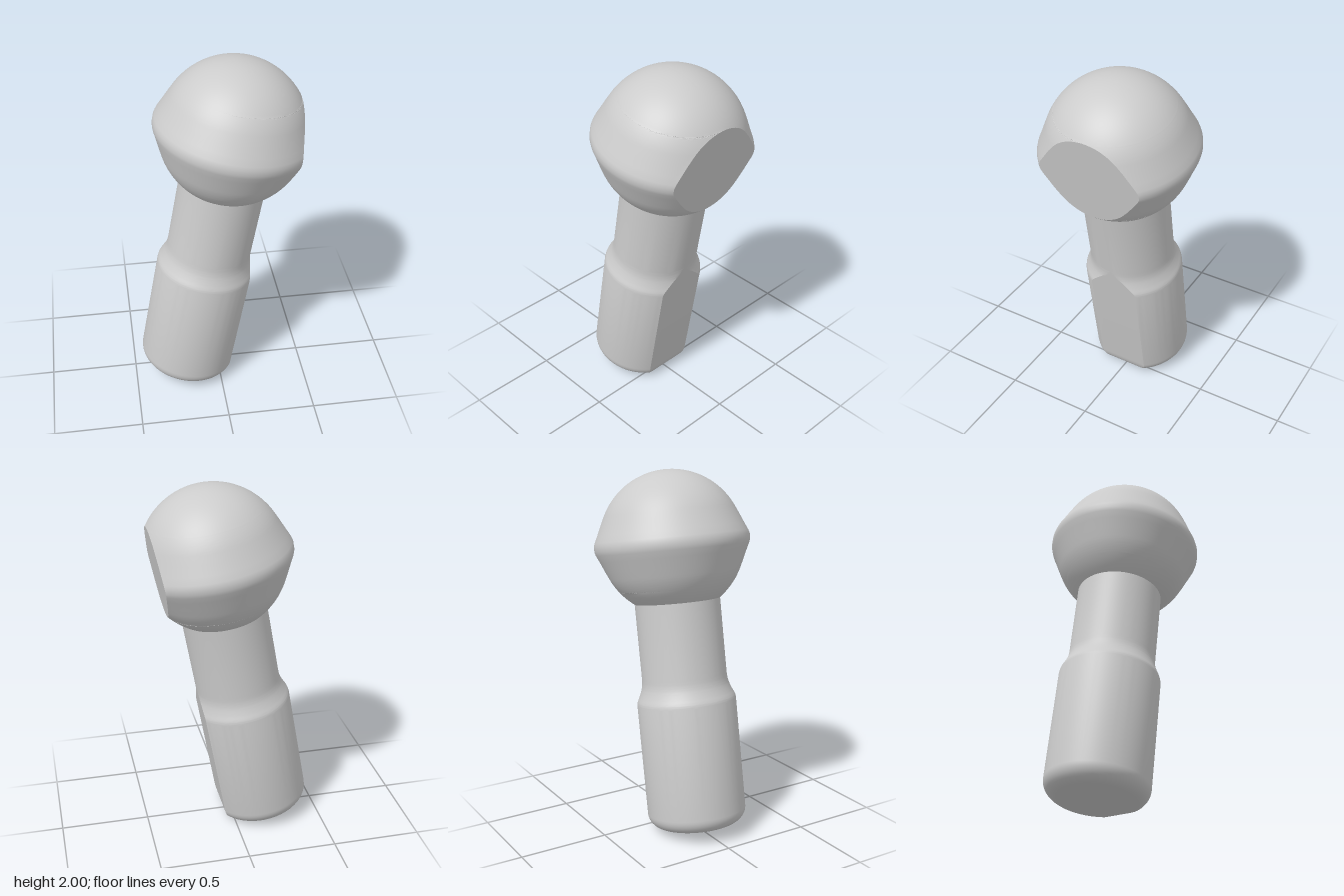
import * as THREE from 'three';
import { toCreasedNormals } from 'three/addons/utils/BufferGeometryUtils.js';

const ARC = 72, CHORD = 8; // steps round the arc and across the flat

// Turned solid with one flat on its +x side.
// rows run bottom to top: [radius, height, x limit of the flat]
function flattenedLathe(rows) {
  const n = ARC + CHORD, pos = [], index = [];
  for (const [r, h, limit] of rows) {
    const a = r > limit ? Math.acos(limit / r) : 0;
    for (let i = 0; i <= ARC; i++) {
      const t = a + (i / ARC) * (2 * Math.PI - 2 * a);
      pos.push(r * Math.cos(t), h, r * Math.sin(t));
    }
    for (let i = 1; i < CHORD; i++) {
      pos.push(r * Math.cos(a), h, r * Math.sin(a) * (2 * i / CHORD - 1));
    }
  }
  const P = i => new THREE.Vector3().fromArray(pos, i * 3);
  const face = (a, b, c) => {
    const area = P(b).sub(P(a)).cross(P(c).sub(P(a))).length();
    if (area > 1e-10) index.push(a, b, c);
  };
  for (let j = 0; j < rows.length - 1; j++) {
    for (let i = 0; i < n; i++) {
      const a = j * n + i, b = j * n + (i + 1) % n;
      face(a, a + n, b);
      face(b, a + n, b + n);
    }
  }
  const g = new THREE.BufferGeometry();
  g.setAttribute('position', new THREE.Float32BufferAttribute(pos, 3));
  g.setIndex(index);
  return toCreasedNormals(g, 0.36);
}

export function createModel() {
  const group = new THREE.Group();
  const material = new THREE.MeshStandardMaterial({ color: 0xcccccc });
  const add = (name, rows) => {
    const mesh = new THREE.Mesh(flattenedLathe(rows), material);
    mesh.name = name;
    group.add(mesh);
  };

  // Ball head: sphere with a raised band at the equator, cut flat on one side
  const R = 0.4, headFlat = 0.315, neckR = 0.238;
  const neckTop = -Math.sqrt(R * R - neckR * neckR);
  const head = [[0, neckTop, headFlat]];
  const sphere = (from, to, steps) => {
    for (let i = 0; i <= steps; i++) {
      const t = from + (to - from) * i / steps;
      head.push([Math.max(0, R * Math.cos(t)), R * Math.sin(t), headFlat]);
    }
  };
  const edge = Math.acos(headFlat / R), band = 0.425;
  sphere(Math.asin(neckTop / R), -edge, 6);
  sphere(-edge + 0.004, -band, 14);
  for (const [r, h] of [[0.383, -0.125], [0.407, -0.07], [0.424, -0.034], [0.43, -0.014],
    [0.43, 0.014], [0.424, 0.034], [0.407, 0.07], [0.383, 0.125]]) head.push([r, h, headFlat]);
  sphere(band, edge - 0.004, 14);
  sphere(edge, Math.PI / 2, 24);
  add('ballHead', head);

  // Stem: rounded foot, thick shank with a flat, curved shoulder, thinner neck
  const foot = -1.59, shankR = 0.278, fillet = 0.082;
  const stem = [[0, foot, 0.192]];
  for (let i = 0; i <= 10; i++) {
    const t = (i / 10) * Math.PI / 2;
    stem.push([shankR - fillet * (1 - Math.sin(t)), foot + fillet * (1 - Math.cos(t)),
      neckR - 0.046 * (1 - Math.sin(t))]);
  }
  const shoulder = new THREE.SplineCurve([[0.278, -0.89], [0.274, -0.868], [0.259, -0.835],
    [0.246, -0.8], [0.24, -0.77], [neckR, -0.74]].map(p => new THREE.Vector2(...p)));
  for (const p of shoulder.getPoints(24)) stem.push([Math.max(neckR, p.x), p.y, neckR]);
  stem.push([neckR, neckTop, neckR], [0, neckTop, neckR]);
  add('stem', stem);

  // Lean the whole piece to the side
  group.rotation.z = -THREE.MathUtils.degToRad(10);
  group.position.set(0.087, 1.6, 0);
  const model = new THREE.Group();
  model.name = 'ballStud';
  model.add(group);
  return model;
}
